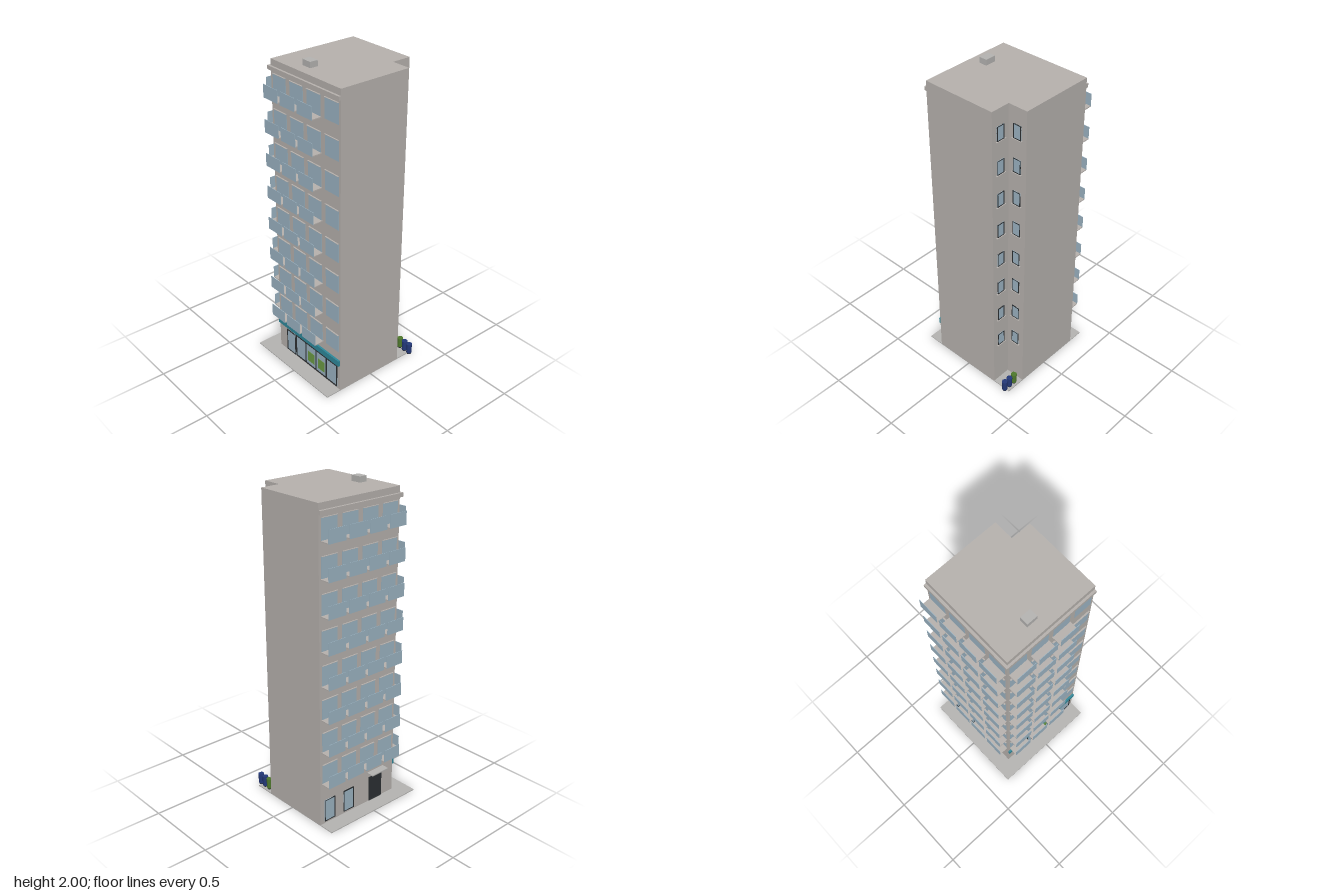
import * as THREE from 'three';

const paint = (name, color) => {
  const m = new THREE.MeshStandardMaterial({ color });
  m.name = name;
  return m;
};

export function createModel() {
  const wall = paint('wallGrey', 0xb8b3af);
  const stone = paint('stoneGrey', 0xb6b5b3);
  const glass = paint('glassBlue', 0x9db5c4);
  const dark = paint('frameBlack', 0x2c3033);
  const teal = paint('signTeal', 0x2f8a9c);
  const green = paint('posterGreen', 0x6c9c44);
  const navy = paint('binNavy', 0x24397a);
  const binGreen = paint('binGreen', 0x4f7a2c);

  const FLOORS = 8, STEP = 0.2107;
  const X0 = -0.265, X1 = 0.335, Z0 = -0.352, Z1 = 0.25;
  const NX = 0.21, NZ = -0.227, TOP = 1.965;
  const model = new THREE.Group();
  model.name = 'apartmentBuilding';

  // Box given by its minimum and maximum on each axis
  const box = (parent, name, mat, x0, x1, y0, y1, z0, z1) => {
    const mesh = new THREE.Mesh(new THREE.BoxGeometry(x1 - x0, y1 - y0, z1 - z0), mat);
    mesh.position.set((x0 + x1) / 2, (y0 + y1) / 2, (z0 + z1) / 2);
    mesh.name = name;
    parent.add(mesh);
    return mesh;
  };

  // Rectangular frame of bars standing off a wall, with a pane inside
  const framed = (parent, name, x0, x1, y0, y1, t, pane) => {
    const g = new THREE.Group();
    g.name = name;
    box(g, 'pane', pane, x0, x1, y0, y1, 0, 0.003);
    box(g, 'frameLeft', dark, x0, x0 + t, y0, y1, 0, 0.006);
    box(g, 'frameRight', dark, x1 - t, x1, y0, y1, 0, 0.006);
    box(g, 'frameTop', dark, x0, x1, y1 - t, y1, 0, 0.006);
    box(g, 'frameBottom', dark, x0, x1, y0, y0 + t, 0, 0.006);
    parent.add(g);
    return g;
  };

  // Wall group: local x runs along the wall, local z points outwards
  const facade = (name, x, z, turn) => {
    const g = new THREE.Group();
    g.name = name;
    g.position.set(x, 0, z);
    g.rotation.y = turn;
    model.add(g);
    return g;
  };

  // Pavement and tower with a notched back corner
  box(model, 'pavement', stone, -0.365, X1, 0, 0.006, Z0, 0.352);
  const plan = new THREE.Shape(
    [[X0, -Z1], [X1, -Z1], [X1, -NZ], [NX, -NZ], [NX, -Z0], [X0, -Z0]].map(p => new THREE.Vector2(...p)));
  const tower = new THREE.Mesh(
    new THREE.ExtrudeGeometry(plan, { depth: TOP - 0.003, bevelEnabled: false }), wall);
  tower.rotation.x = -Math.PI / 2;
  tower.position.y = 0.003;
  tower.name = 'tower';
  model.add(tower);

  // Cornice and roof box
  box(model, 'frontCornice', wall, X0 - 0.015, X1, 1.902, 1.926, Z1, Z1 + 0.014);
  box(model, 'sideCornice', wall, X0 - 0.015, X0, 1.902, 1.926, Z0, Z1);
  box(model, 'roofVent', stone, -0.068, 0, TOP, 2, 0.13, 0.182);

  const front = facade('frontFacade', 0, Z1, 0);
  const side = facade('rightFacade', X0, 0, -Math.PI / 2);
  const notchSide = facade('notchSideWall', NX, 0, Math.PI / 2);
  const notchBack = facade('notchBackWall', 0, NZ, Math.PI);

  // Window with a thin hood, and a balcony where wanted
  const bay = (parent, c, y, balcony) => {
    box(parent, 'window', glass, c - 0.058, c + 0.058, y + 0.006, y + 0.129, 0, 0.002);
    box(parent, 'windowHood', wall, c - 0.058, c + 0.058, y + 0.129, y + 0.131, 0, 0.009);
    if (!balcony) return;
    box(parent, 'balconyFloor', wall, c - 0.064, c + 0.064, y, y + 0.006, 0, 0.065);
    box(parent, 'balconyScreen', glass, c - 0.064, c + 0.064, y, y + 0.08, 0.063, 0.066);
  };
  // Small framed window with a sill
  const smallWindow = (parent, c, y) => {
    framed(parent, 'notchWindow', c - 0.026, c + 0.026, y, y + 0.088, 0.003, glass);
    box(parent, 'windowSill', wall, c - 0.035, c + 0.035, y - 0.006, y, 0, 0.011);
  };

  for (let i = 0; i < FLOORS; i++) {
    const y = 0.281 + i * STEP;
    for (let k = 0; k < 4; k++) {
      bay(front, -0.19 + k * 0.151, y, k < 3);
      bay(side, -0.277 + k * 0.151, y, true);
    }
    smallWindow(notchSide, 0.289, y + 0.02);
    smallWindow(notchBack, -0.274, y + 0.02);
  }

  // Shop front: sign band, door, glazing and posters
  box(front, 'signBand', teal, X0, X1 - 0.002, 0.19, 0.229, 0, 0.013);
  framed(front, 'shopDoor', -0.188, -0.101, 0.015, 0.172, 0.005, glass);
  framed(front, 'shopWindow', -0.096, 0.31, 0.018, 0.18, 0.008, glass);
  for (const x of [0.005, 0.106, 0.207]) {
    box(front, 'mullion', dark, x - 0.004, x + 0.004, 0.018, 0.18, 0, 0.006);
  }
  for (const x of [0.025, 0.125]) {
    box(front, 'poster', green, x, x + 0.063, 0.05, 0.124, 0.002, 0.005);
  }

  // Side street: two glazed openings, entrance and canopy
  framed(side, 'sideWindow', -0.32, -0.238, 0.02, 0.165, 0.004, glass);
  framed(side, 'sideWindow', -0.167, -0.085, 0.02, 0.165, 0.004, glass);
  framed(side, 'entranceDoor', 0.045, 0.15, 0.008, 0.175, 0.006, dark);
  box(side, 'entranceCanopy', stone, 0.03, 0.165, 0.207, 0.214, 0, 0.049);

  // Bins in the notch
  [[0.26, binGreen], [0.302, navy], [0.344, navy]].forEach(([x, mat]) => {
    const bin = new THREE.Group();
    bin.name = 'bin';
    const body = new THREE.Mesh(new THREE.CylinderGeometry(0.018, 0.017, 0.058, 10), mat);
    body.position.y = 0.043;
    body.name = 'binBody';
    const lid = new THREE.Mesh(new THREE.CylinderGeometry(0.0187, 0.0187, 0.008, 10), mat);
    lid.position.y = 0.076;
    lid.name = 'binLid';
    const foot = new THREE.Mesh(new THREE.CylinderGeometry(0.014, 0.014, 0.01, 10), dark);
    foot.position.y = 0.01;
    foot.name = 'binFoot';
    bin.add(body, lid, foot);
    bin.position.set(x, 0, -0.325);
    model.add(bin);
  });

  return model;
}
